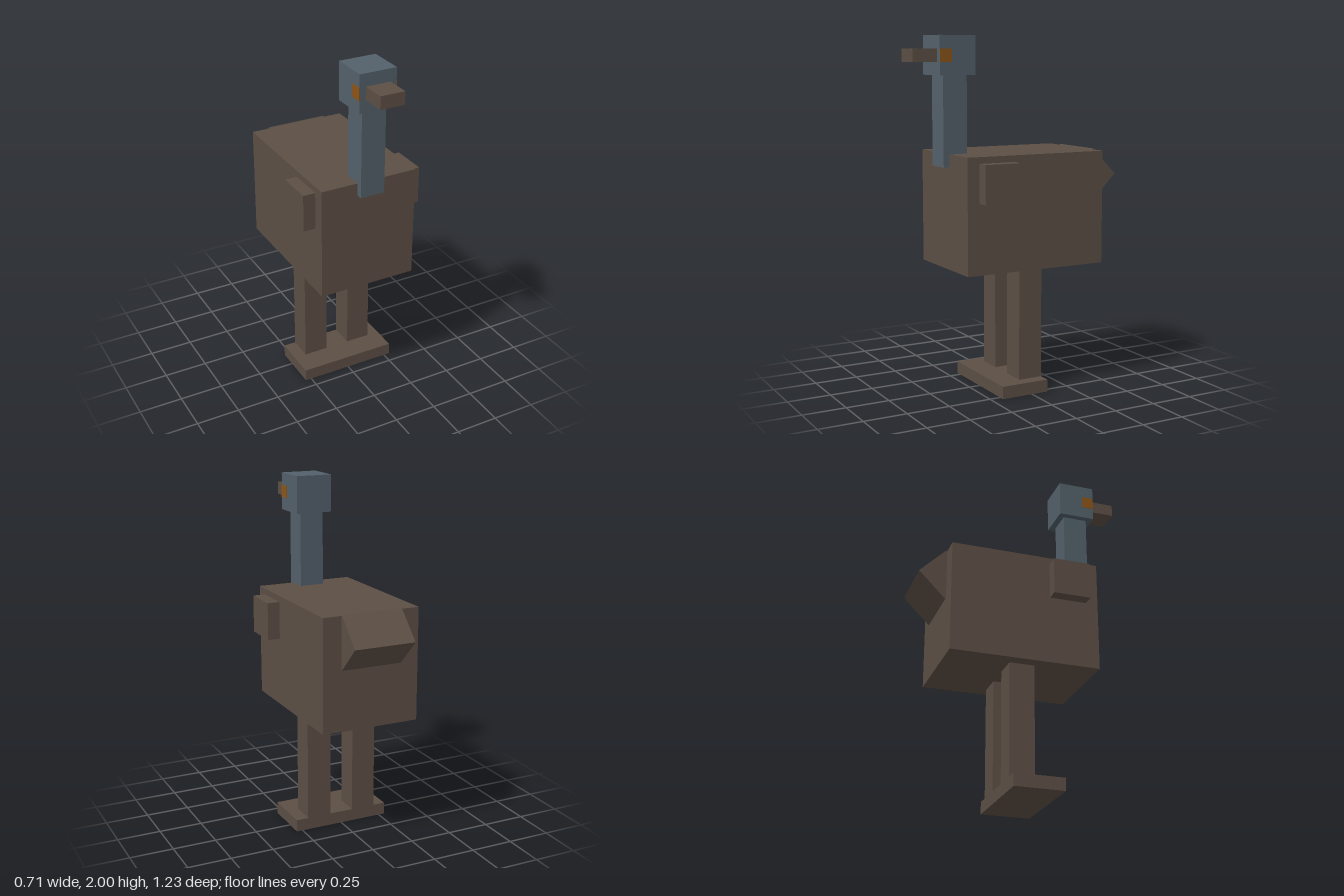
import * as THREE from 'three';

const mat = (name, color) => Object.assign(new THREE.MeshStandardMaterial({ color }), { name });

export function createModel() {
  const brown = mat('brown feathers', 0x5c4f45);
  const blue = mat('slate blue skin', 0x53606a);
  const orange = mat('orange eye', 0x8a5518);
  const model = new THREE.Group();
  model.name = 'bird';

  // Box given by its [min, max] range on each axis
  const block = (name, material, x, y, z) => {
    const mesh = new THREE.Mesh(
      new THREE.BoxGeometry(x[1] - x[0], y[1] - y[0], z[1] - z[0]), material);
    mesh.position.set((x[0] + x[1]) / 2, (y[0] + y[1]) / 2, (z[0] + z[1]) / 2);
    mesh.name = name;
    model.add(mesh);
    return mesh;
  };

  // Torso and the slab it stands on
  block('body', brown, [-0.286, 0.286], [0.714, 1.357], [-0.457, 0.4]);
  block('feet', brown, [-0.286, 0.286], [0, 0.071], [-0.1, 0.186]);

  // Neck, head and beak
  block('neck', blue, [-0.071, 0.071], [1.286, 1.786], [0.293, 0.436]);
  block('head', blue, [-0.107, 0.107], [1.786, 2], [0.257, 0.471]);
  block('beak', brown, [-0.071, 0.071], [1.857, 1.929], [0.471, 0.614]);

  // Tail: a square bar turned 45 degrees, half sunk into the body
  const tail = block('tail', brown, [-0.179, 0.179], [1.103, 1.317], [-0.57, -0.356]);
  tail.rotation.x = Math.PI / 4;

  // Paired parts
  for (const [label, s] of [['left', 1], ['right', -1]]) {
    const side = (a, b) => (s > 0 ? [a, b] : [-b, -a]);
    block(label + 'Wing', brown, side(0.286, 0.357), [1.107, 1.321], [0.114, 0.329]);
    block(label + 'Leg', brown, side(0.071, 0.214), [0.071, 0.714], [-0.1, 0.043]);
    block(label + 'Eye', orange, side(0.105, 0.109), [1.857, 1.929], [0.4, 0.471]);
  }
  return model;
}
